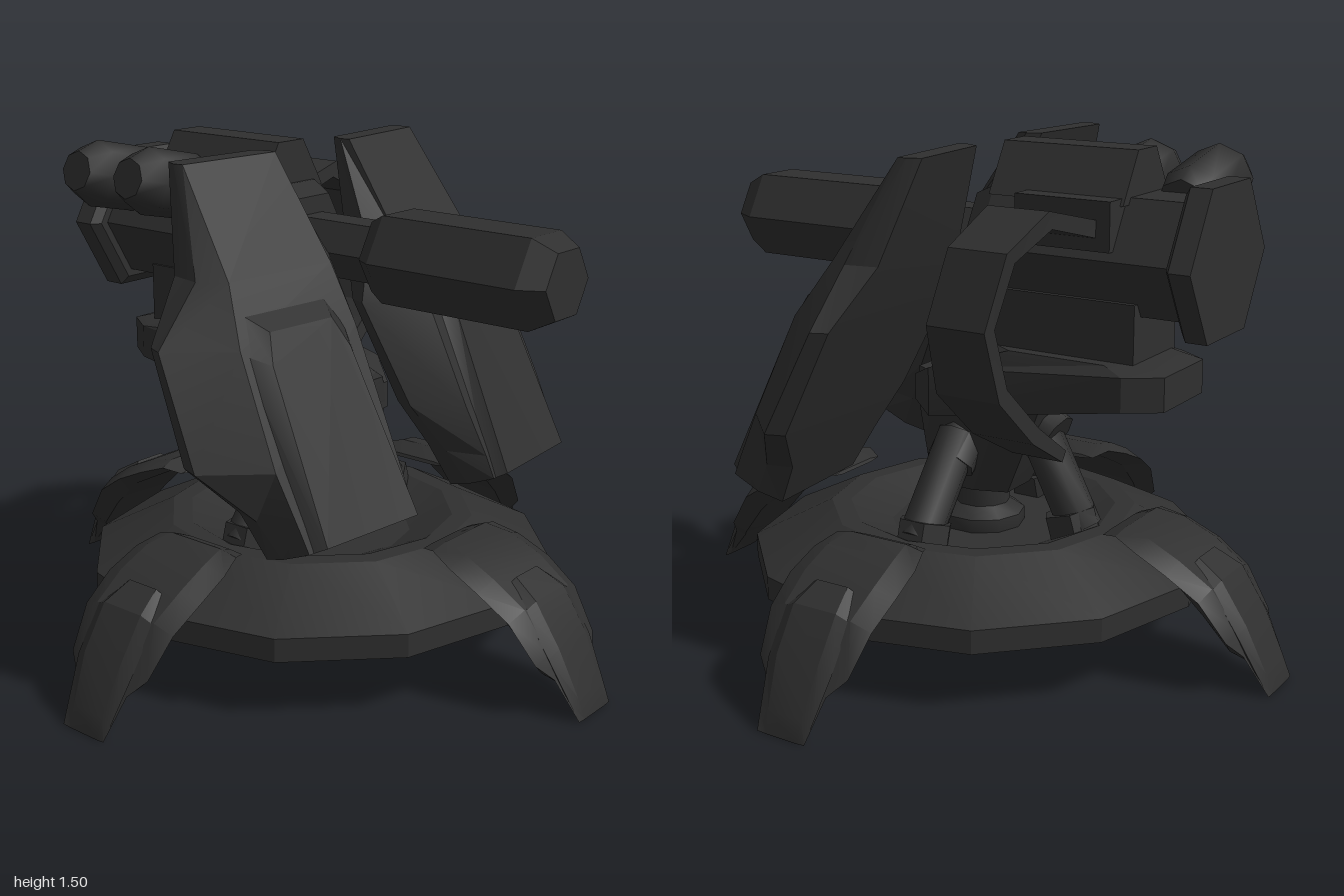
import * as THREE from 'three';
import { toCreasedNormals } from 'three/addons/utils/BufferGeometryUtils.js';

const dark = new THREE.MeshStandardMaterial({ color: 0x2f2f2f });
dark.name = 'dark gunmetal';

const V = (x, y, z) => new THREE.Vector3(x, y, z);

function add(parent, name, geometry, crease = 0.4) {
  const mesh = new THREE.Mesh(toCreasedNormals(geometry, crease), dark);
  mesh.name = name;
  parent.add(mesh);
  return mesh;
}

// Closed solid through rings of equally many points, always facing outward
function loft(rings) {
  const tris = [];
  const n = rings[0].length;
  for (let i = 0; i + 1 < rings.length; i++) {
    for (let j = 0; j < n; j++) {
      const k = (j + 1) % n;
      const a = rings[i][j], b = rings[i][k], c = rings[i + 1][k], d = rings[i + 1][j];
      tris.push([a, b, c], [a, c, d]);
    }
  }
  const last = rings[rings.length - 1];
  for (let j = 1; j < n - 1; j++) {
    tris.push([rings[0][0], rings[0][j + 1], rings[0][j]], [last[0], last[j], last[j + 1]]);
  }
  let volume = 0;
  for (const [a, b, c] of tris) volume += a.dot(b.clone().cross(c));
  const pos = [];
  for (const [a, b, c] of tris) {
    for (const p of volume > 0 ? [a, b, c] : [a, c, b]) pos.push(p.x, p.y, p.z);
  }
  const g = new THREE.BufferGeometry();
  g.setAttribute('position', new THREE.Float32BufferAttribute(pos, 3));
  g.computeVertexNormals();
  return g;
}

// Turned solid with [radius, height] profile
const turned = (profile, sides) =>
  new THREE.LatheGeometry(profile.map(([r, y]) => new THREE.Vector2(r, y)), sides);

// Hexagonal solid along z with corners to the sides
const hexAlongZ = (profile) => turned(profile, 6).rotateY(Math.PI / 2).rotateX(Math.PI / 2);

// Turned part placed from point a towards b
function turnedBetween(parent, name, a, b, profile, sides) {
  const mesh = add(parent, name, turned(profile, sides), sides > 6 ? 0.9 : 0.4);
  mesh.position.copy(a);
  mesh.quaternion.setFromUnitVectors(V(0, 1, 0), b.clone().sub(a).normalize());
  return mesh;
}
function rod(parent, name, a, b, r, sides = 8) {
  const l = a.distanceTo(b);
  return turnedBetween(parent, name, a, b, [[0, 0], [r, 0], [r, l], [0, l]], sides);
}

// Curved foot armour; each section is [distance, top, bottom, half width, edge drop]
function footGeometry(sections) {
  return loft(sections.map(([z, top, bottom, w, drop]) => [
    V(-w, top - drop, z - drop * 0.5), V(-w * 0.65, top, z), V(w * 0.65, top, z),
    V(w, top - drop, z - drop * 0.5), V(w * 0.65, bottom, z - drop), V(-w * 0.65, bottom, z - drop),
  ]));
}

function buildBase(root) {
  const base = new THREE.Group();
  base.name = 'base';
  add(base, 'baseDish', turned([
    [0, 0.25], [0.27, 0.25], [0.45, 0.33], [0.705, 0.18], [0.71, 0.18], [0.71, 0.25],
    [0.47, 0.37], [0.41, 0.37], [0.28, 0.31], [0, 0.31]], 12));
  add(base, 'bottomNozzle', turned([
    [0, 0.13], [0.1, 0.13], [0.12, 0.085], [0.175, 0.085], [0.13, 0.15], [0.13, 0.27], [0, 0.27]], 6));
  add(base, 'centrePost', turned([
    [0, 0.2], [0.13, 0.3], [0.13, 0.35], [0.085, 0.38], [0.085, 0.55], [0, 0.55]], 10), 0.9);

  for (let i = 0; i < 4; i++) {
    const foot = new THREE.Group();
    foot.name = 'foot' + (i + 1);
    add(foot, 'footShell', footGeometry([
      [0.49, 0.4, 0.39, 0.12, 0.005], [0.55, 0.425, 0.395, 0.15, 0.015],
      [0.63, 0.41, 0.36, 0.175, 0.025], [0.73, 0.365, 0.31, 0.182, 0.025],
      [0.83, 0.3, 0.215, 0.172, 0.025], [0.905, 0.185, 0.12, 0.15, 0.02],
      [0.935, 0.13, 0.09, 0.1, 0.015], [1, 0.002, 0, 0.08, 0]]));
    add(foot, 'footPlate', footGeometry([
      [0.76, 0.36, 0.28, 0.08, 0.02], [0.84, 0.315, 0.22, 0.11, 0.02],
      [0.92, 0.195, 0.12, 0.108, 0.02], [0.98, 0.06, 0.04, 0.088, 0.01], [1, 0.002, 0, 0.08, 0]]));
    foot.rotation.y = i * Math.PI / 2;
    base.add(foot);
  }

  // Three bent struts: two at the sides, one behind
  for (const [dx, dz, name] of [[1, 0, 'left'], [-1, 0, 'right'], [0, -1, 'rear']]) {
    const at = (d, y) => V(dx * d, y, dz * d);
    const rear = dz !== 0 ? 0.08 : 0;
    rod(base, name + 'StrutShoulder', at(0.08, 0.64 + rear), at(0.18 + rear, 0.54 + rear), 0.075);
    rod(base, name + 'Strut', at(0.13 + rear, 0.62), at(0.35, 0.35), 0.065);
    rod(base, name + 'StrutSocket', at(0.36, 0.23), at(0.31, 0.4), 0.085, 6);
  }
  root.add(base);
}

function buildHull(root) {
  // Body: levels of [y, front z, back z, half width]
  const section = ([y, f, b, w], front = y, back = y) => [
    V(-w * 0.6, front, f), V(w * 0.6, front, f), V(w, y, f - 0.1), V(w, back, b + 0.1),
    V(w * 0.65, back, b), V(-w * 0.65, back, b), V(-w, back, b + 0.1), V(-w, y, f - 0.1)];
  add(root, 'hull', loft([
    section([0.44, 0.15, -0.13, 0.1]), section([0.56, 0.155, -0.19, 0.14]),
    section([0.72, 0.17, -0.26, 0.17]), section([0.8, 0.17, -0.26, 0.15])]));
  add(root, 'hullDeck', loft([
    section([0.68, 0.17, -0.67, 0.19], 0.7, 0.79),
    section([0.83, 0.17, -0.67, 0.19], 0.78, 0.89),
    section([0.91, -0.09, -0.6, 0.16])]));
  const neck = add(root, 'turretNeck', new THREE.BoxGeometry(0.26, 0.2, 0.47));
  neck.position.set(-0.01, 0.98, -0.335);
}

function buildTurret(root) {
  const turret = new THREE.Group();
  turret.name = 'turret';
  add(turret, 'turretBody', hexAlongZ([
    [0, -0.74], [0.19, -0.74], [0.19, -0.09], [0.155, -0.02], [0, -0.02]]));
  add(turret, 'backPlate', hexAlongZ([
    [0, -0.785], [0.245, -0.785], [0.245, -0.72], [0.215, -0.7], [0, -0.7]]));
  add(turret, 'barrelSleeve', hexAlongZ([[0, -0.03], [0.095, -0.03], [0.095, 0.28], [0, 0.28]]));
  add(turret, 'barrel', hexAlongZ([
    [0, 0.25], [0.115, 0.25], [0.145, 0.3], [0.145, 0.79], [0.105, 0.86], [0, 0.86]]));
  turret.position.set(-0.015, 1.205, 0);
  root.add(turret);

  // Ridge on top of the turret
  add(root, 'turretRidge', loft([[0.14, 1.35], [0.055, 1.495]].map(([w, y]) => [
    V(-w - 0.015, y, -0.1), V(w - 0.015, y, -0.1), V(w - 0.015, y, -0.53), V(-w - 0.015, y, -0.53)])));

  // Pair of pods on the right flank
  for (const z of [-0.61, -0.39]) {
    turnedBetween(root, 'sidePod', V(-0.08, 1.33, z), V(-0.4, 1.4, z), [
      [0, 0], [0.08, 0], [0.1, 0.06], [0.1, 0.26], [0.06, 0.33], [0, 0.33]], 8);
  }

  // Hooked armour band on the left flank: [x, y, front z, back z, normal x, normal y]
  const mount = add(root, 'bandMount', new THREE.BoxGeometry(0.1, 0.14, 0.3));
  mount.position.set(0.13, 1.3, -0.37);
  add(root, 'armourBand', loft([
    [0.15, 1.31, -0.25, -0.48, 0, 1], [0.4, 1.37, -0.27, -0.46, 0.3, 1],
    [0.56, 1.28, -0.25, -0.43, 0.8, 0.6], [0.62, 1.08, -0.22, -0.4, 1, 0],
    [0.53, 0.87, -0.19, -0.39, 0.8, -0.6], [0.32, 0.7, -0.17, -0.37, 0.6, -0.8],
    [0.12, 0.59, -0.18, -0.35, 0.4, -0.6],
  ].map(([x, y, f, b, nx, ny]) => {
    const t = 0.05;
    return [V(x, y, f), V(x, y, b), V(x - nx * t, y - ny * t, b), V(x - nx * t, y - ny * t, f)];
  })));
}

// Large sloped shield, turned slightly outward; side is 1 or -1
function buildShield(root, side) {
  const shield = new THREE.Group();
  shield.name = side > 0 ? 'leftShield' : 'rightShield';
  const P = (u, y, z) => V(side * u - 0.02, y, z + 0.09 * (0.38 - u));
  // [y, inner, inner front, outer front, outer, front z, edge z, back z, front lift]
  add(shield, 'shieldShell', loft([
    [1.49, 0.16, 0.165, 0.505, 0.51, -0.03, -0.06, -0.1, 0],
    [1.2, 0.09, 0.16, 0.54, 0.59, 0.17, 0.1, 0.0, 0],
    [1.04, 0.03, 0.17, 0.6, 0.74, 0.27, 0.12, 0.07, 0],
    [0.74, 0.08, 0.18, 0.62, 0.765, 0.41, 0.27, 0.21, 0],
    [0.6, 0.15, 0.19, 0.61, 0.64, 0.48, 0.36, 0.28, 0],
    [0.475, 0.185, 0.19, 0.605, 0.61, 0.51, 0.42, 0.345, 0.06],
  ].map(([y, a, b, c, d, f, e, k, lift]) => [
    P(a, y + lift * 0.4, e), P(b, y + lift, f), P(c, y + lift, f),
    P(d, y + lift * 0.4, e), P(d - 0.02, y, k), P(a + 0.02, y, k)])));
  // Raised front panel
  add(shield, 'shieldPanel', loft([
    [P(0.24, 1.12, 0.215), P(0.54, 1.12, 0.215), P(0.59, 1.03, 0.26), P(0.6, 0.525, 0.49),
      P(0.19, 0.525, 0.49), P(0.2, 1.05, 0.25)],
    [P(0.28, 1.08, 0.285), P(0.51, 1.08, 0.285), P(0.54, 1.0, 0.325), P(0.57, 0.55, 0.54),
      P(0.22, 0.55, 0.54), P(0.25, 1.0, 0.325)]]));
  root.add(shield);
}

export function createModel() {
  const root = new THREE.Group();
  root.name = 'walkerTurret';
  buildBase(root);
  buildHull(root);
  buildTurret(root);
  buildShield(root, 1);
  buildShield(root, -1);
  return root;
}
